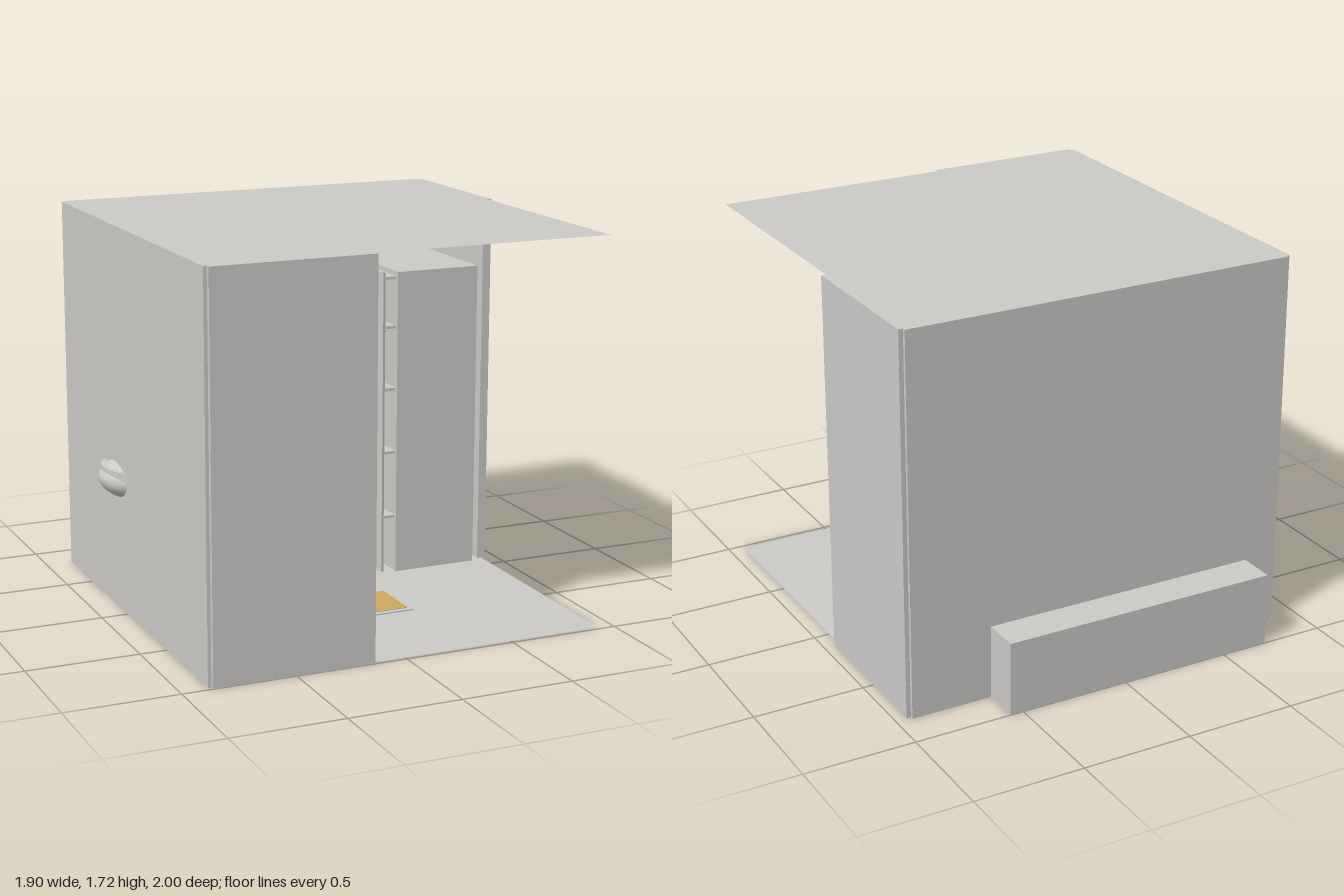
import * as THREE from 'three';

const white = new THREE.MeshStandardMaterial({ color: 0xcccac7 });
white.name = 'offWhite';
white.side = THREE.DoubleSide;
const tan = new THREE.MeshStandardMaterial({ color: 0xcfa860 });
tan.name = 'tan';
const dark = new THREE.MeshStandardMaterial({ color: 0x5a5a5a });
dark.name = 'darkGrey';

export function createModel() {
  const root = new THREE.Group();
  root.name = 'bathroom';

  const group = (name) => {
    const g = new THREE.Group();
    g.name = name;
    root.add(g);
    return g;
  };
  const add = (parent, name, geo, mat, x = 0, y = 0, z = 0) => {
    const m = new THREE.Mesh(geo, mat);
    m.name = name;
    m.position.set(x, y, z);
    parent.add(m);
    return m;
  };
  // Box given by its limits on each axis
  const box = (parent, name, mat, x0, x1, y0, y1, z0, z1) =>
    add(parent, name, new THREE.BoxGeometry(x1 - x0, y1 - y0, z1 - z0), mat,
      (x0 + x1) / 2, (y0 + y1) / 2, (z0 + z1) / 2);
  const ball = (parent, name, rx, ry, rz, x, y, z) =>
    add(parent, name, new THREE.SphereGeometry(1, 32, 20).scale(rx, ry, rz), white, x, y, z);
  const cyl = (parent, name, mat, r, y0, y1, x, z) =>
    add(parent, name, new THREE.CylinderGeometry(r, r, y1 - y0, 24), mat, x, (y0 + y1) / 2, z);

  // Room shell: thin floor and ceiling, four walls with an open front corner
  const room = group('room');
  for (const [name, y] of [['floor', 0], ['ceiling', 1.72]])
    add(room, name, new THREE.PlaneGeometry(1.81, 1.8).rotateX(-Math.PI / 2), white, 0.025, y, 0.08);
  box(room, 'backWall', white, -0.865, 0.93, 0, 1.72, -0.83, -0.805);
  box(room, 'rightSideWall', white, -0.88, -0.86, 0, 1.72, -0.815, 0.98);
  box(room, 'frontWall', white, -0.865, -0.145, 0, 1.72, 0.965, 1.0);
  box(room, 'leftSideWall', white, 0.91, 0.95, 0, 1.72, -0.815, -0.1);

  // Bathtub running through the back wall
  box(root, 'bathtub', white, -0.715, 0.56, 0, 0.335, -1.0, -0.48);

  // Hanging slats and their rail
  const blind = group('slatBlind');
  for (let i = 0; i < 5; i++) {
    const x = -0.68 + i * 0.3;
    box(blind, 'slat', tan, x - 0.008, x + 0.008, 0.77, 1.555, -0.802, -0.65);
  }
  box(blind, 'rail', white, -0.645, 0.485, 1.6, 1.62, -0.74, -0.72);

  // Pedestal basin with tap ring and towel ring
  const basin = group('washBasin');
  const bx = -0.71, bz = -0.13;
  cyl(basin, 'column', white, 0.077, 0, 0.52, bx, bz);
  ball(basin, 'bowl', 0.24, 0.11, 0.212, bx, 0.59, bz);
  const rim = [[0.19, 0.645], [0.225, 0.645], [0.225, 0.6], [0.19, 0.6]]
    .map(([r, y]) => new THREE.Vector2(r, y));
  // Separate band and top keep the rim corners sharp
  for (let i = 0; i < 3; i++)
    add(basin, 'rim', new THREE.LatheGeometry(rim.slice(i, i + 2), 40), white, bx, 0, bz);
  add(basin, 'tapRing', new THREE.TorusGeometry(0.068, 0.016, 12, 32), white, bx, 0.8, bz);
  cyl(basin, 'tapStem', white, 0.014, 0.68, 0.74, bx, bz);
  ball(basin, 'tapKnob', 0.018, 0.03, 0.018, bx + 0.02, 0.8, bz);
  add(basin, 'towelRing', new THREE.TorusGeometry(0.068, 0.006, 8, 32).rotateY(Math.PI / 2),
    white, bx, 0.265, 0);

  // Toilet
  const toilet = group('toilet');
  const tz = 0.575;
  cyl(toilet, 'foot', white, 0.12, 0, 0.24, -0.47, tz);
  ball(toilet, 'bowl', 0.165, 0.103, 0.147, -0.47, 0.262, tz);
  add(toilet, 'seat', new THREE.TorusGeometry(0.145, 0.02, 12, 40).rotateX(Math.PI / 2).scale(1.1, 1, 1),
    white, -0.47, 0.317, tz);
  box(toilet, 'tank', white, -0.84, -0.65, 0.26, 0.64, tz - 0.133, tz + 0.133);
  box(toilet, 'tankLid', white, -0.85, -0.635, 0.64, 0.667, tz - 0.15, tz + 0.15);
  ball(toilet, 'flushKnob', 0.012, 0.012, 0.012, -0.745, 0.668, tz);

  // Waste bin
  const bin = group('wasteBin');
  cyl(bin, 'binBody', dark, 0.073, 0, 0.168, -0.43, 0.87);
  cyl(bin, 'binLid', dark, 0.08, 0.168, 0.18, -0.43, 0.87);

  // Floor mat with inset
  const mat = group('floorMat');
  box(mat, 'matBorder', white, 0.072, 0.298, 0.001, 0.007, 0.16, 0.46);
  box(mat, 'matInset', tan, 0.09, 0.28, 0.006, 0.009, 0.185, 0.435);

  // Tall cabinet, shelves, bottles and the slanting door
  const cabinet = group('cabinet');
  box(cabinet, 'cabinetBody', white, 0.465, 0.87, 0, 1.42, -0.6, -0.074);
  for (const y of [1.385, 1.157, 0.866, 0.566, 0.258])
    box(cabinet, 'shelf', white, 0.405, 0.466, y, y + 0.013, -0.59, -0.09);
  for (const y of [0.58, 0.885])
    box(cabinet, 'bottle', white, 0.437, 0.464, y, y + 0.103, -0.33, -0.25);
  const door = box(cabinet, 'door', white, -0.006, 0.006, 0, 1.42, -0.26, 0.26);
  door.position.set(0.349, 0.71, -0.345);
  door.rotation.y = 0.22;

  // Gently waved door handle
  const points = [];
  for (let i = 0; i <= 12; i++)
    points.push(new THREE.Vector3(0.352, 0.08 + i * 0.0808, -0.15 + 0.012 * Math.sin(i * 1.05)));
  add(cabinet, 'handle',
    new THREE.TubeGeometry(new THREE.CatmullRomCurve3(points), 48, 0.007, 8), white);
  for (const y of [0.2, 0.93])
    box(cabinet, 'handleMount', white, 0.352, 0.4, y - 0.006, y + 0.006, -0.156, -0.144);

  return root;
}
